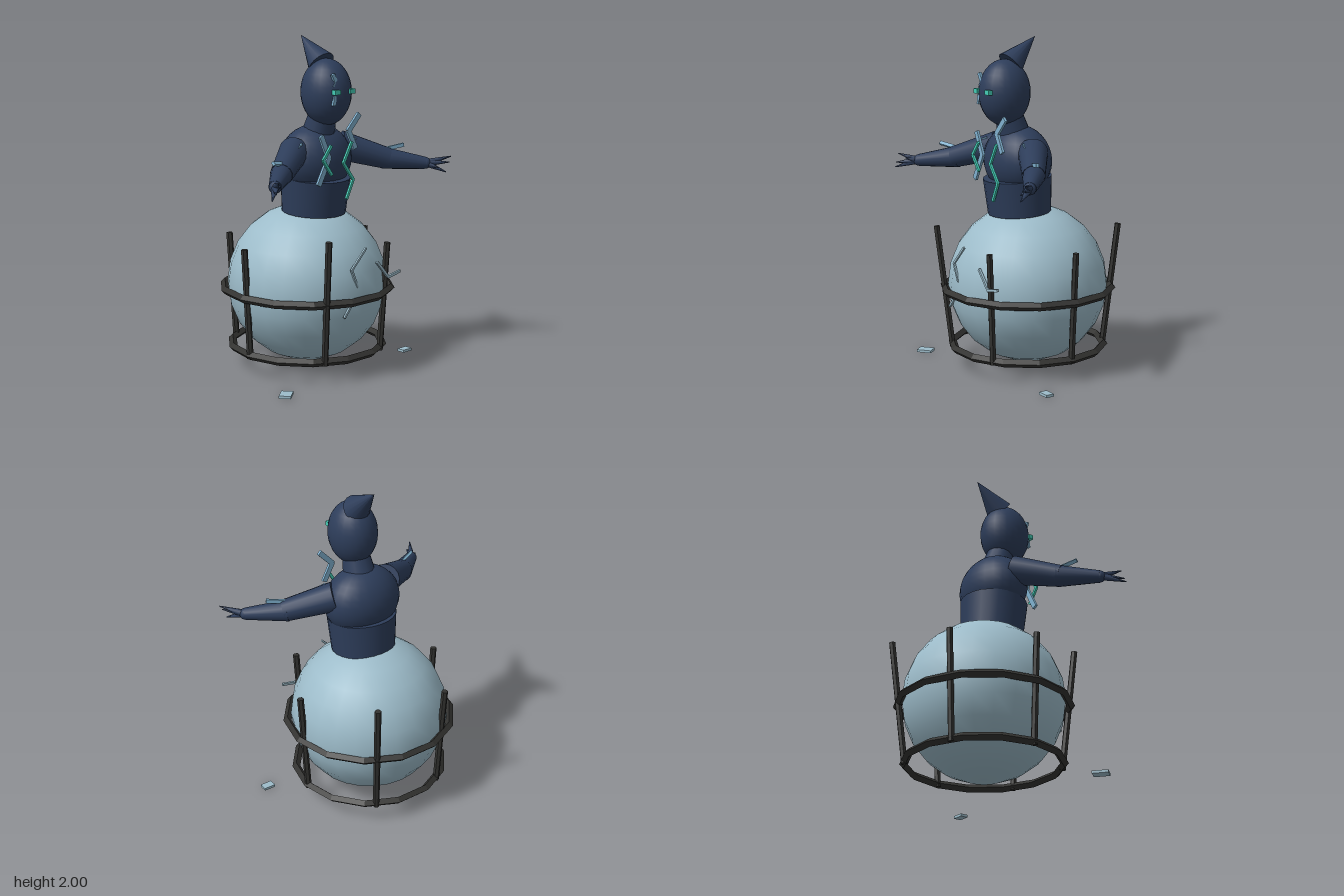
import * as THREE from 'three';

const mat = (name, color, flatShading = false) => {
  const m = new THREE.MeshStandardMaterial({ color, flatShading });
  m.name = name;
  return m;
};

export function createModel() {
  const model = new THREE.Group();
  model.name = 'figureOnCagedOrb';
  const navy = mat('navy', 0x2d3d5a);
  const ice = mat('paleIce', 0x9dbcca);
  const iron = mat('darkIron', 0x323230, true);
  const frost = mat('frostBlue', 0x7fb0ce);
  const teal = mat('glowTeal', 0x44cdb6);
  const V = (a) => new THREE.Vector3(...a);

  const add = (name, geo, material, pos = [0, 0, 0], parent = model) => {
    const m = new THREE.Mesh(geo, material);
    m.name = name;
    m.position.set(...pos);
    parent.add(m);
    return m;
  };

  // Tapered cylinder from point a to point b
  const limb = (name, a, b, ra, rb, material, sides = 16, parent = model) => {
    const p = V(a), d = V(b).sub(p), len = d.length();
    const m = add(name, new THREE.CylinderGeometry(rb, ra, len, sides), material,
      p.clone().addScaledVector(d, 0.5).toArray(), parent);
    m.quaternion.setFromUnitVectors(new THREE.Vector3(0, 1, 0), d.normalize());
    return m;
  };

  // Jagged crack: a chain of thin bars along points
  const crack = (name, pts, width, depth, material) => {
    const g = new THREE.Group();
    g.name = name;
    for (let i = 0; i + 1 < pts.length; i++) {
      const p = V(pts[i]), d = V(pts[i + 1]).sub(p), len = d.length();
      const m = add(name + 'Bar', new THREE.BoxGeometry(len + width * 0.3, width, depth), material,
        p.clone().addScaledVector(d, 0.5).toArray(), g);
      m.quaternion.setFromUnitVectors(new THREE.Vector3(1, 0, 0), d.normalize());
    }
    model.add(g);
  };
  const flat = (z, pts) => pts.map(([x, y]) => [x, y, z]);

  // Orb
  add('orb', new THREE.SphereGeometry(0.485, 24, 12), ice, [0, 0.513, 0]);
  crack('orbCrackUpper', flat(0.47, [[0.03, 0.785], [-0.085, 0.67], [-0.035, 0.56]]), 0.013, 0.012, ice);
  crack('orbCrackSide', flat(0.443, [[0.155, 0.675], [0.25, 0.57], [0.35, 0.59]]), 0.016, 0.014, ice);
  crack('orbCrackLower', flat(0.468, [[-0.14, 0.395], [-0.085, 0.46]]), 0.013, 0.012, ice);

  // Cage rings and leaning posts
  for (const [name, r, y] of [['upperRing', 0.511, 0.485], ['lowerRing', 0.465, 0.13]]) {
    add(name, new THREE.TorusGeometry(r, 0.025, 4, 14), iron, [0, y, 0]).rotation.x = Math.PI / 2;
  }
  for (let k = 0; k < 6; k++) {
    const a = k * Math.PI / 3, c = Math.cos(a), s = Math.sin(a);
    const tall = k % 3 === 2;
    const r = tall ? 0.55 : 0.5, y = tall ? 0.865 : 0.78;
    limb('cagePost', [0.46 * c, 0.112, 0.46 * s], [r * c, y, r * s], 0.02, 0.02, iron, 6);
  }

  // Fallen shards
  add('fallenShardRight', new THREE.BoxGeometry(0.094, 0.016, 0.07), ice, [-0.547, 0.008, 0.41]).rotation.y = 0.67;
  add('fallenShardLeft', new THREE.BoxGeometry(0.074, 0.016, 0.05), ice, [0.593, 0.008, 0.27]);

  // Waist, chest, neck, head
  const waist = add('waist', new THREE.CylinderGeometry(0.214, 0.198, 0.215, 24), navy, [0, 1.062, 0.067]);
  waist.scale.z = 0.95;
  waist.rotation.x = 0.08;
  add('chest', new THREE.SphereGeometry(1, 24, 16), navy, [0, 1.27, 0.073]).scale.set(0.245, 0.212, 0.186);
  limb('neck', [0, 1.43, 0.1], [0, 1.56, 0.14], 0.098, 0.08, navy);
  add('head', new THREE.SphereGeometry(1, 24, 16), navy, [0, 1.678, 0.164]).scale.set(0.145, 0.197, 0.158);
  const peak = new THREE.ConeGeometry(0.085, 0.237, 16);
  const hat = add('pointedCrest', peak, navy, [0, 1.921, 0.035]);
  hat.rotation.x = -Math.atan2(0.744, 0.668);

  // Arms and hands
  for (const s of [1, -1]) {
    const arm = new THREE.Group();
    arm.name = s > 0 ? 'leftArm' : 'rightArm';
    model.add(arm);
    const elbow = [s * 0.435, 1.247, 0.252], wrist = [s * 0.615, 1.216, 0.4];
    limb('upperArm', [s * 0.185, 1.337, 0.088], elbow, 0.09, 0.066, navy, 16, arm);
    limb('forearm', [s * 0.415, 1.25, 0.236], wrist, 0.067, 0.037, navy, 16, arm);
    add('palm', new THREE.SphereGeometry(0.036, 12, 8), navy, wrist, arm);
    // Spread fingers, tilted the opposite way on each hand
    for (const [x, dy, z] of [[0.73, 0.045, 0.505], [0.708, 0.012, 0.512], [0.685, -0.047, 0.508], [0.643, -0.02, 0.48]]) {
      limb('finger', wrist, [s * x, 1.212 + s * dy, z], 0.024, 0.003, navy, 8, arm);
    }
    crack('armCrack', [[s * 0.2, 1.385, 0.16], [s * 0.39, 1.3, 0.235], [s * 0.53, 1.325, 0.292]], 0.022, 0.016, frost);
  }

  // Eyes
  for (const x of [-0.062, 0.06]) add('eye', new THREE.BoxGeometry(0.042, 0.028, 0.028), teal, [x, 1.69, 0.314]);

  // Frost cracks on face and chest
  crack('browCrack', flat(0.292, [[-0.07, 1.79], [-0.045, 1.745], [-0.06, 1.72]]), 0.024, 0.015, frost);
  crack('cheekCrack', flat(0.3, [[-0.062, 1.665], [-0.07, 1.615]]), 0.02, 0.015, frost);
  crack('chestCrackRight', flat(0.27, [[-0.14, 1.435], [-0.08, 1.305], [-0.16, 1.155]]), 0.033, 0.016, frost);
  crack('chestCrackLeft', flat(0.27, [[0.165, 1.54], [0.08, 1.45], [0.135, 1.345]]), 0.033, 0.016, frost);

  // Glowing veins
  crack('veinRight', flat(0.295, [[-0.085, 1.38], [-0.148, 1.3], [-0.08, 1.21]]), 0.017, 0.014, teal);
  crack('veinLeft', flat(0.283, [[0.095, 1.385], [0.028, 1.265], [0.108, 1.16], [0.055, 1.05]]), 0.017, 0.014, teal);

  return model;
}
